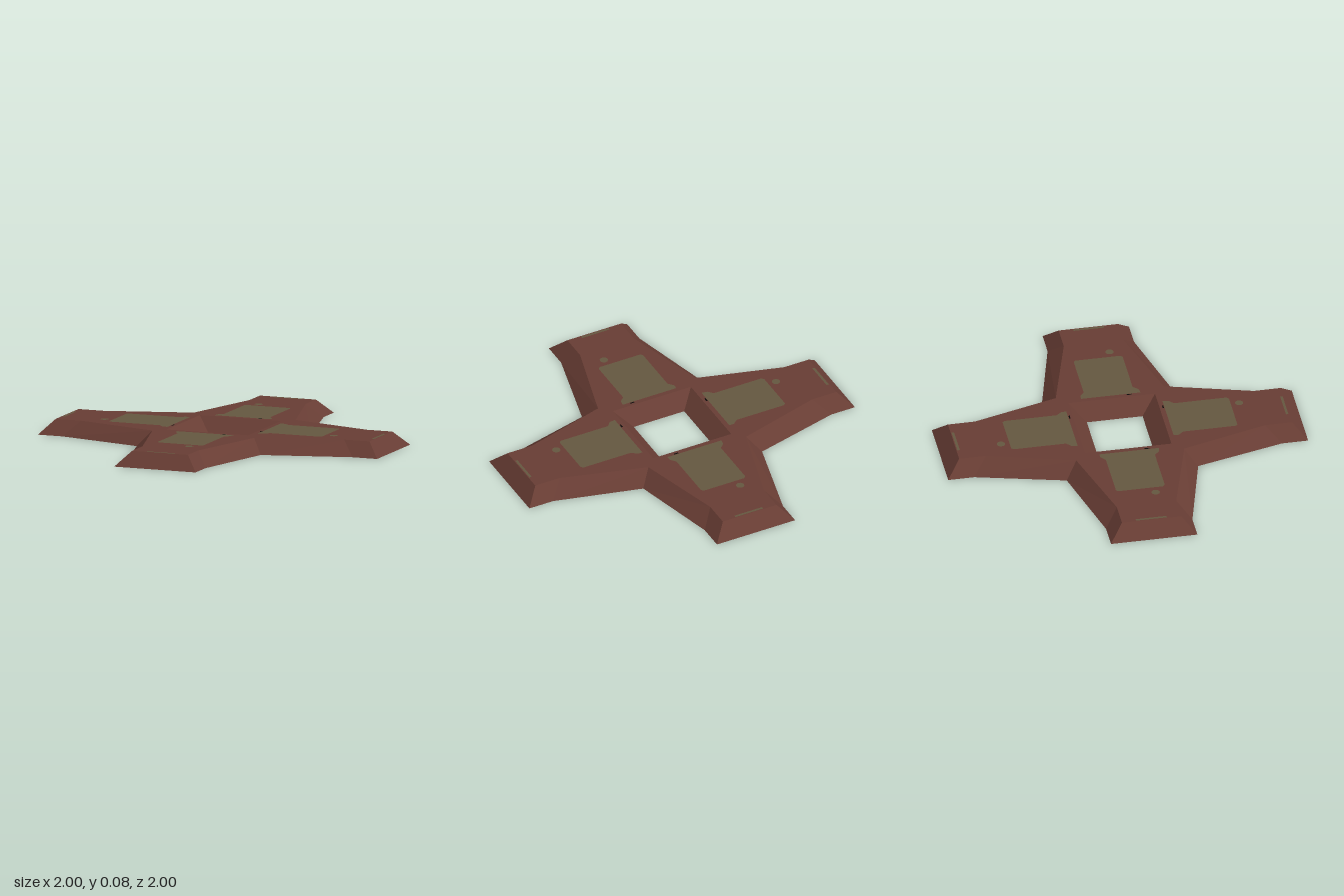
import * as THREE from 'three';

const TOP = 0.08;

// Repeat a run of points [x, y] around the four quarters (counter-clockwise)
function fourfold(points) {
  const ring = [];
  for (let k = 0; k < 4; k++) {
    for (const [x, y] of points) {
      ring.push([[x, y], [-y, x], [-x, -y], [y, -x]][k]);
    }
  }
  return ring;
}

// Flat-shaded sloping band between two matching rings
function slopedWall(lower, upper) {
  const pos = [];
  lower.forEach((a, i) => {
    const j = (i + 1) % lower.length;
    const b = lower[j], c = upper[j], d = upper[i];
    pos.push(a[0], 0, -a[1], b[0], 0, -b[1], c[0], TOP, -c[1]);
    pos.push(a[0], 0, -a[1], c[0], TOP, -c[1], d[0], TOP, -d[1]);
  });
  const g = new THREE.BufferGeometry();
  g.setAttribute('position', new THREE.Float32BufferAttribute(pos, 3));
  g.computeVertexNormals();
  return g;
}

const toVectors = (pts) => pts.map(([x, y]) => new THREE.Vector2(x, y));

// Horizontal sheet at the top height
function sheet(pts, holes = []) {
  const shape = new THREE.Shape(toVectors(pts));
  for (const h of holes) shape.holes.push(new THREE.Path(toVectors(h)));
  return new THREE.ShapeGeometry(shape).rotateX(-Math.PI / 2).translate(0, TOP, 0);
}

const rect = (x0, y0, x1, y1) => [[x0, y0], [x1, y0], [x1, y1], [x0, y1]];

export function createModel() {
  const group = new THREE.Group();
  const material = (name, color) => {
    const m = new THREE.MeshStandardMaterial({ color, side: THREE.DoubleSide });
    m.name = name;
    return m;
  };
  const brown = material('red brown', 0x683d34);
  const olive = material('olive', 0x645840);
  const black = material('black', 0x0c0908);

  const add = (name, geometry, mat) => {
    const mesh = new THREE.Mesh(geometry, mat);
    mesh.name = name;
    group.add(mesh);
  };

  // Cross outlines at the ground and at the top, and the square funnel hole
  const outerLow = fourfold([[0.365, -0.365], [0.855, -0.24], [1, -0.24], [1, 0.24], [0.855, 0.24]]);
  const outerHigh = fourfold([[0.3, -0.3], [0.775, -0.165], [0.925, -0.165], [0.925, 0.165], [0.775, 0.165]]);
  const holeLow = fourfold([[0.155, -0.155]]).reverse();
  const holeHigh = fourfold([[0.24, -0.24]]).reverse();

  // Markings for one arm: u across, v outward from the centre
  const panel = [
    [-0.165, 0.267], [0.165, 0.267], [0.165, 0.295], [0.14, 0.325], [0.14, 0.615], [0.13, 0.628],
    [-0.12, 0.628], [-0.132, 0.615], [-0.132, 0.325], [-0.16, 0.3],
  ];
  const dot = [];
  for (let i = 0; i < 12; i++) {
    const a = (i / 12) * Math.PI * 2;
    dot.push([-0.07 + 0.023 * Math.cos(a), 0.675 + 0.023 * Math.sin(a)]);
  }
  const strip = rect(-0.085, 0.906, 0.085, 0.92);

  // Each arm places (u, v) on the sheet; the side arms mirror each other
  const arms = [
    { name: 'back', place: ([u, v]) => [u, v], speck: 0.11 },
    { name: 'front', place: ([u, v]) => [-u, -v], speck: -0.11 },
    { name: 'left', place: ([u, v]) => [v, u], speck: -0.1 },
    { name: 'right', place: ([u, v]) => [-v, u], speck: -0.1 },
  ];

  // Markings are inlaid flush, so they also show on the underside
  const cutouts = [holeHigh];
  for (const { name, place, speck } of arms) {
    const inlay = (label, pts, mat) => {
      const placed = pts.map(place);
      cutouts.push(placed);
      add(name + label, sheet(placed), mat);
    };
    inlay('Panel', panel, olive);
    inlay('Dot', dot, olive);
    inlay('TipStrip', strip, olive);
    inlay('Speck', rect(speck - 0.013, 0.256, speck + 0.013, 0.264), black);
  }

  // Open-bottomed shell
  add('topPlate', sheet(outerHigh, cutouts), brown);
  add('outerSlopes', slopedWall(outerLow, outerHigh), brown);
  add('holeSlopes', slopedWall(holeLow, holeHigh), brown);

  return group;
}
